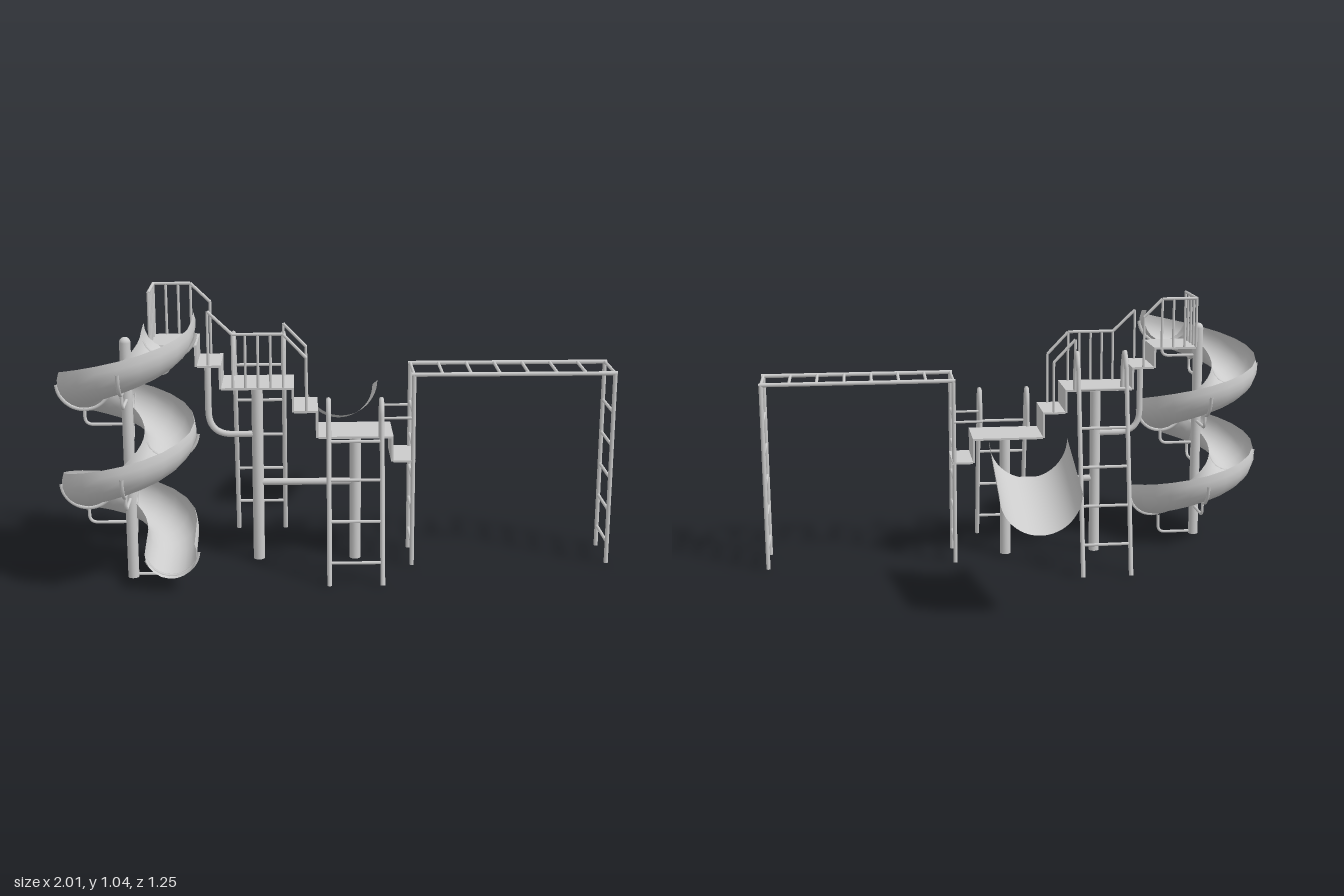
import * as THREE from 'three';

const ZB = 0.095, ZF = 0.285, ZM = 0.198; // back edge, front edge and middle of the walkway
const mat = new THREE.MeshStandardMaterial({ color: 0xcccccc });
const sheetMat = new THREE.MeshStandardMaterial({ color: 0xcccccc, side: THREE.DoubleSide });
const V = (x, y, z) => new THREE.Vector3(x, y, z);

function add(parent, name, geometry, material = mat) {
  const mesh = new THREE.Mesh(geometry, material);
  mesh.name = name;
  parent.add(mesh);
  return mesh;
}

function part(parent, name) {
  const g = new THREE.Group();
  g.name = name;
  parent.add(g);
  return g;
}

// Straight round bar between two points
function rod(parent, name, a, b, r = 0.006, sides = 8) {
  const dir = b.clone().sub(a);
  const m = add(parent, name, new THREE.CylinderGeometry(r, r, dir.length(), sides));
  m.position.copy(a).add(b).multiplyScalar(0.5);
  m.quaternion.setFromUnitVectors(V(0, 1, 0), dir.normalize());
  return m;
}

// Bent pipe: straight runs with corners rounded by distance c
function pipe(parent, name, pts, r, c = 0.04) {
  const path = new THREE.CurvePath();
  let from = pts[0];
  for (let i = 1; i < pts.length - 1; i++) {
    const p = pts[i];
    const towards = q => p.clone().add(q.clone().sub(p).setLength(Math.min(c, p.distanceTo(q) * 0.49)));
    const a = towards(pts[i - 1]), b = towards(pts[i + 1]);
    path.add(new THREE.LineCurve3(from, a));
    path.add(new THREE.QuadraticBezierCurve3(a, p, b));
    from = b;
  }
  path.add(new THREE.LineCurve3(from, pts[pts.length - 1]));
  return add(parent, name, new THREE.TubeGeometry(path, 40, r, 8), mat);
}

// Open surface swept through a grid of points f(i, j)
function sheet(parent, name, rows, cols, f) {
  const pos = [], idx = [];
  for (let i = 0; i <= rows; i++) for (let j = 0; j <= cols; j++) {
    pos.push(...f(i, j).toArray());
    if (i < rows && j < cols) {
      const a = i * (cols + 1) + j, b = a + cols + 1;
      idx.push(a, b, a + 1, b, b + 1, a + 1);
    }
  }
  const g = new THREE.BufferGeometry();
  g.setAttribute('position', new THREE.Float32BufferAttribute(pos, 3));
  g.setIndex(idx);
  g.computeVertexNormals();
  return add(parent, name, g, sheetMat);
}

// Decks and stairs as one stepped walkway: [x start, x end, height]
function walkway(root) {
  const g = part(root, 'walkway'), t = 0.008, w = ZF - ZB + 0.01;
  const treads = [[-0.68, -0.515, 0.84], [-0.515, -0.43, 0.765], [-0.43, -0.17, 0.682],
    [-0.17, -0.083, 0.595], [-0.083, 0.19, 0.498], [0.19, 0.27, 0.406]];
  treads.forEach(([x0, x1, y], i) => {
    add(g, 'tread', new THREE.BoxGeometry(x1 - x0, t, w)).position.set((x0 + x1) / 2, y - t / 2, 0.19);
    if (i === treads.length - 1) return;
    const y1 = treads[i + 1][2];
    add(g, 'riser', new THREE.BoxGeometry(t, y - y1, w)).position.set(x1 - t / 2, (y + y1) / 2 - t / 2, 0.19);
  });
}

function supports(root) {
  const g = part(root, 'supports');
  rod(g, 'middlePost', V(-0.305, 0, ZM), V(-0.305, 0.677, ZM), 0.021, 16);
  rod(g, 'lowerPost', V(0.055, 0, ZM), V(0.055, 0.493, ZM), 0.021, 16);
  rod(g, 'crossPipe', V(-0.305, 0.3, ZM), V(0.055, 0.3, ZM), 0.013, 12);
  pipe(g, 'stairBrace', [V(-0.483, 0.762, ZM), V(-0.483, 0.485, ZM), V(-0.305, 0.485, ZM)], 0.012, 0.09);
}

// Climbing ladder with arched grab rails; s is +1 for the front, -1 for the back
function ladder(root, name, xs, foot, shoulder, topY, edge, deckY, rungYs) {
  const g = part(root, name), s = Math.sign(foot - edge);
  const zAt = y => foot + (shoulder[0] - foot) * y / shoulder[1];
  for (const x of xs) {
    const mid = (edge + shoulder[0]) / 2;
    const curve = new THREE.CatmullRomCurve3([V(x, 0, foot), V(x, shoulder[1] / 2, zAt(shoulder[1] / 2)),
      V(x, shoulder[1] - 0.04, zAt(shoulder[1] - 0.04)), V(x, shoulder[1], shoulder[0]),
      V(x, topY - 0.009, mid), V(x, shoulder[1] - 0.01, edge + s * 0.008), V(x, deckY, edge)]);
    add(g, 'grabRail', new THREE.TubeGeometry(curve, 60, 0.0088, 8));
  }
  for (const y of rungYs) rod(g, 'rung', V(xs[0], y, zAt(y)), V(xs[1], y, zAt(y)));
}

// Rail through points, with posts [x, top, bottom]
function railing(root, name, z, line, posts) {
  const g = part(root, name);
  for (let i = 1; i < line.length; i++)
    rod(g, 'handrail', V(line[i - 1][0], line[i - 1][1], z), V(line[i][0], line[i][1], z));
  for (const [x, top, bottom] of posts) rod(g, 'baluster', V(x, bottom, z), V(x, top, z), 0.005);
}

function railings(root) {
  railing(root, 'upperBackRailing', ZB, [[-0.68, 1.028], [-0.545, 1.028], [-0.475, 0.96]],
    [...[0, 1, 2, 3].map(i => [-0.68 + i * 0.045, 1.028, 0.84]), [-0.475, 0.96, 0.765]]);
  railing(root, 'middleFrontRailing', ZF,
    [[-0.475, 0.96], [-0.388, 0.877], [-0.208, 0.877], [-0.125, 0.79]],
    [[-0.475, 0.96, 0.765], ...[0, 1, 2, 3, 4].map(i => [-0.388 + i * 0.045, 0.877, 0.68]), [-0.125, 0.79, 0.595]]);
  railing(root, 'lowerBackRailing', ZB, [[-0.208, 0.877], [-0.125, 0.79]],
    [[-0.208, 0.877, 0.68], [-0.125, 0.79, 0.595]]);
  const end = part(root, 'upperEndRailing');
  rod(end, 'handrail', V(-0.68, 1.028, ZB), V(-0.68, 1.028, ZF));
  for (let i = 1; i <= 4; i++) {
    const z = ZB + i * (ZF - ZB) / 4;
    rod(end, 'baluster', V(-0.68, 0.84, z), V(-0.68, 1.028, z), 0.005);
  }
  for (const z of [ZB, ZF]) rod(root, 'stepHandle', V(0.15, 0.565, z), V(0.262, 0.565, z), 0.005);
}

function monkeyBars(root) {
  const g = part(root, 'monkeyBars'), x0 = 0.262, x1 = 0.988, y = 0.726;
  for (const z of [ZB + 0.005, ZF]) {
    rod(g, 'topRail', V(x0 - 0.008, y, z), V(x1 + 0.008, y, z), 0.008);
    for (const x of [x0, x1]) rod(g, 'endPost', V(x, 0, z), V(x, y, z), 0.008);
  }
  for (let i = 0; i <= 7; i++) {
    const x = x0 + (x1 - x0) * i / 7;
    rod(g, 'overheadBar', V(x, y, ZB), V(x, y, ZF));
  }
  for (const x of [x0, x1]) for (let i = 0; i < 5; i++)
    rod(g, 'endRung', V(x, 0.08 + i * 0.125, ZB), V(x, 0.08 + i * 0.125, ZF));
}

function spiralSlide(root) {
  const g = part(root, 'spiralSlide'), cx = -0.757, cz = 0.374, R = 0.15, r = 0.092, turns = 2, n = 20;
  // Centre of the trough and its outward direction at turn angle a
  const centre = a => V(cx + R * Math.cos(a), 0.91 - 0.365 * a / (2 * Math.PI), cz + R * Math.sin(a));
  const point = (c, a, rad, t) => V(c.x + rad * Math.cos(t) * Math.cos(a), c.y + rad * Math.sin(t), c.z + rad * Math.cos(t) * Math.sin(a));
  const exit = V(cx + R, 0.14, 0.522), entry = V(cx + R, 0.922, 0.285);
  const stations = [[entry, 0]];
  for (let i = 0; i <= n * turns; i++) {
    const a = i / n * 2 * Math.PI;
    stations.push([centre(a), a]);
  }
  stations.push([exit, 0]);
  const lip = j => Math.PI + j / 12 * Math.PI * 1.13; // outer lip rises above the inner one
  sheet(g, 'trough', stations.length - 1, 12, (i, j) => point(stations[i][0], stations[i][1], r, lip(j)));

  // Hoops under the trough
  const hoop = (c, a) => {
    const pts = [];
    for (let k = 0; k <= 10; k++) pts.push(point(c, a, r + 0.005, Math.PI * (1.12 + 0.86 * k / 10)));
    add(g, 'hoop', new THREE.TubeGeometry(new THREE.CatmullRomCurve3(pts), 20, 0.007, 6));
  };
  // Arms from the post to the hoops
  for (let k = 0; k < 8; k++) {
    const a = k * Math.PI / 2, c = centre(a), y = c.y - r - 0.06;
    hoop(c, a);
    pipe(g, 'arm', [V(cx, y, cz), V(c.x, y, c.z), V(c.x, c.y - r, c.z)], 0.006, 0.03);
  }
  hoop(exit.clone().add(V(0, 0.008, -0.02)), 0);
  pipe(g, 'footArm', [V(cx, 0.01, cz), V(cx + R, 0.01, cz), V(cx + R, 0.085, cz)], 0.006, 0.03);
  rod(g, 'centrePost', V(cx, 0, cz), V(cx, 0.87, cz), 0.02, 16);
  add(g, 'postCap', new THREE.SphereGeometry(0.02, 16, 6, 0, Math.PI * 2, 0, Math.PI / 2)).position.set(cx, 0.87, cz);
}

// Wide half-pipe chute, sloping down towards the back
function chute(root) {
  sheet(root, 'chute', 1, 24, (i, j) => {
    const t = Math.PI * (1 + j / 24);
    return V(0.018 + 0.143 * Math.cos(t), (i ? 0.465 : 0.574) + 0.145 * Math.sin(t), i ? -0.62 : -0.254);
  });
}

export function createModel() {
  const root = new THREE.Group();
  root.name = 'playground';
  walkway(root);
  supports(root);
  railings(root);
  ladder(root, 'backLadder', [-0.393, -0.208], -0.143, [0.021, 0.79], 0.845, 0.095, 0.68, [0.12, 0.265, 0.41, 0.555, 0.7]);
  ladder(root, 'frontLadder', [-0.047, 0.143], 0.487, [0.354, 0.61], 0.658, 0.29, 0.497, [0.08, 0.225, 0.37, 0.505]);
  monkeyBars(root);
  spiralSlide(root);
  chute(root);
  return root;
}
